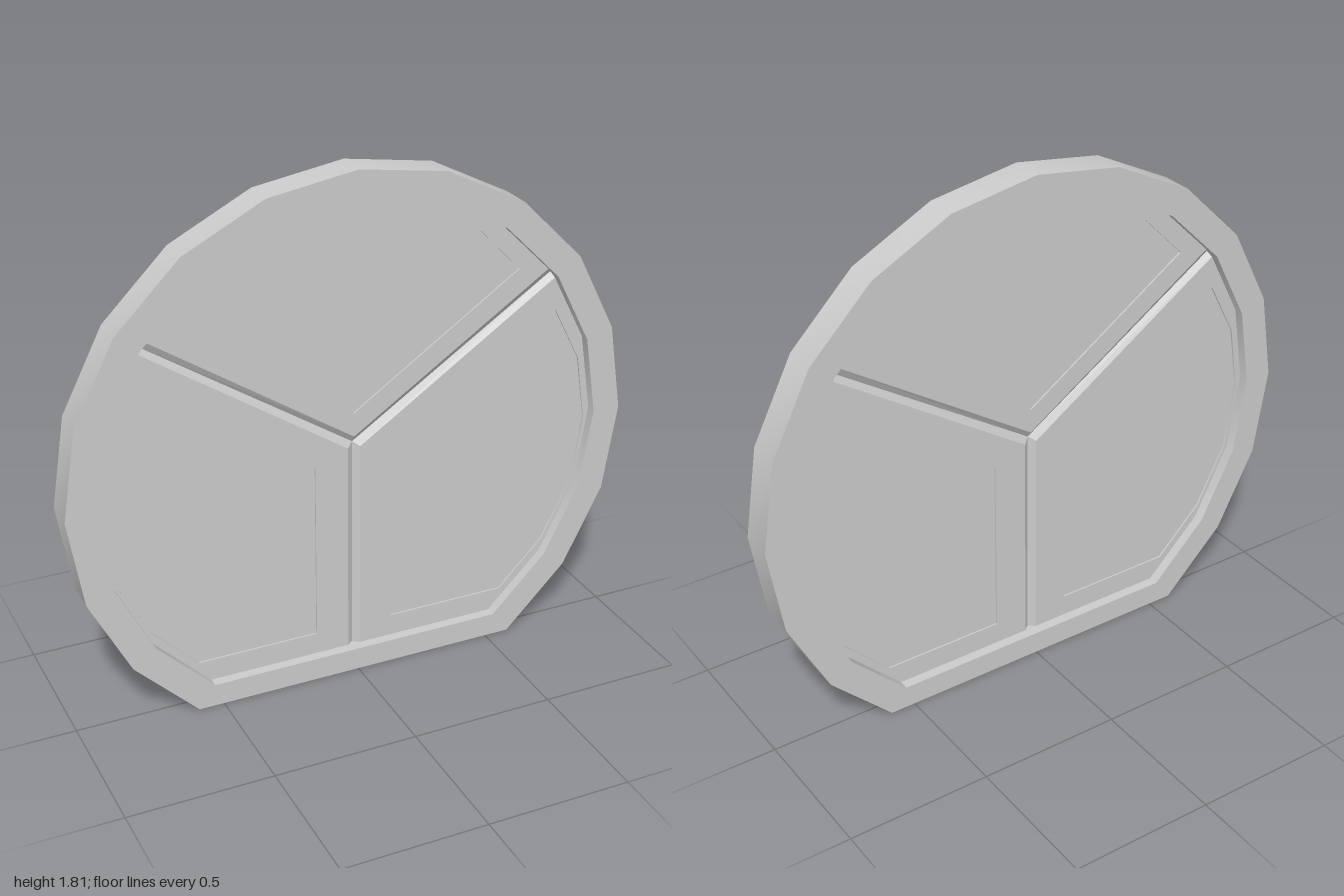
import * as THREE from 'three';
import { toCreasedNormals } from 'three/addons/utils/BufferGeometryUtils.js';

const CENTRE_Y = 0.81;
const FRAME_Z = 0.0575;   // half thickness of the frame
const BOARD_Z = 0.022;    // half thickness of the boards
const PANEL_Z = 0.016;    // half thickness of the sunken panels
const GROOVE_Z = 0.004;   // groove floor

const material = new THREE.MeshStandardMaterial({ color: 0xcccccc });
const grooveMaterial = new THREE.MeshStandardMaterial({ color: 0xcccccc, side: THREE.DoubleSide });

// Corner k of a 20-sided ring, counted clockwise from the top
function ring(radius, k) {
  const a = (k * Math.PI) / 10;
  return [radius * Math.sin(a), CENTRE_Y + radius * Math.cos(a)];
}

// Ring with the lowest sides cut off flat
function cutRing(radius) {
  return Array.from({ length: 17 }, (_, i) => ring(radius, i - 8));
}

const mirror = (points) => points.map(([x, y]) => [-x, y]);

// Outline points in a fixed turning direction, so that every wall faces outwards
function turned(points, clockwise) {
  const vectors = points.map(([x, y]) => new THREE.Vector2(x, y));
  return THREE.ShapeUtils.isClockWise(vectors) === clockwise ? vectors : vectors.reverse();
}

// Flat plate centred on z = 0, optionally with an opening
function plate(name, outline, halfDepth, opening) {
  const shape = new THREE.Shape(turned(outline, false));
  if (opening) shape.holes.push(new THREE.Path(turned(opening, true)));
  const geometry = new THREE.ExtrudeGeometry(shape, { depth: 2 * halfDepth, bevelEnabled: false });
  geometry.translate(0, 0, -halfDepth);
  const mesh = new THREE.Mesh(toCreasedNormals(geometry, 0.4), material);
  mesh.name = name;
  return mesh;
}

// V-shaped groove on both faces: rows of [edge, floor, edge], inner end then outer end
function groove(name, inner, outer) {
  const positions = [];
  for (const side of [1, -1]) {
    const z = [BOARD_Z, GROOVE_Z, BOARD_Z].map((d) => d * side);
    for (let i = 0; i < 2; i++) {
      const a = [...inner[i], z[i]], b = [...inner[i + 1], z[i + 1]];
      const c = [...outer[i + 1], z[i + 1]], d = [...outer[i], z[i]];
      const corners = side > 0 ? [a, d, c, a, c, b] : [a, c, d, a, b, c];
      positions.push(...corners.flat());
    }
  }
  const geometry = new THREE.BufferGeometry();
  geometry.setAttribute('position', new THREE.Float32BufferAttribute(positions, 3));
  geometry.computeVertexNormals();
  const mesh = new THREE.Mesh(geometry, grooveMaterial);
  mesh.name = name;
  return mesh;
}

export function createModel() {
  const door = new THREE.Group();
  door.name = 'roundDoor';

  // Outer frame
  door.add(plate('frame', cutRing(1), FRAME_Z, cutRing(0.9)));

  // Corners where the boards meet the grooves
  const apex = [0, 0.885], hub = [0, 0.86], low = [0.022, 0.845];
  const armTop = [0.71, 1.357], armMid = ring(0.9, 3), armLow = [0.737, 1.322];
  const foot = [0.022, 0.082];

  // Boards and the sunken panel inside each
  const topBoard = [apex, armTop, ...[2, 1, 0, -1, -2].map((k) => ring(0.9, k)), [-armTop[0], armTop[1]]];
  const topPanel = [[0, 0.97], [0.6, 1.375], [0.45, 1.53], [0.235, 1.64], [0, 1.675],
    [-0.235, 1.64], [-0.45, 1.53], [-0.6, 1.375]];
  const sideBoard = [low, foot, ...[8, 7, 6, 5, 4].map((k) => ring(0.9, k)), armLow];
  const sidePanel = [[0.14, 0.16], [0.57, 0.16], [0.735, 0.325], [0.845, 0.54],
    [0.88, 0.78], [0.845, 1.01], [0.745, 1.205], [0.14, 0.8]];

  const sections = [
    ['top', topBoard, topPanel],
    ['left', sideBoard, sidePanel],
    ['right', mirror(sideBoard), mirror(sidePanel)],
  ];
  for (const [name, board, panel] of sections) {
    door.add(plate(name + 'Board', board, BOARD_Z, panel));
    door.add(plate(name + 'Panel', panel, PANEL_Z));
  }

  // Three grooves meeting in the middle
  const inner = [low, hub, apex], outer = [armLow, armMid, armTop];
  door.add(groove('leftGroove', inner, outer));
  door.add(groove('rightGroove', mirror(inner).reverse(), mirror(outer).reverse()));
  door.add(groove('lowerGroove', [[-low[0], low[1]], hub, low], [[-foot[0], foot[1]], [0, foot[1]], foot]));

  return door;
}
